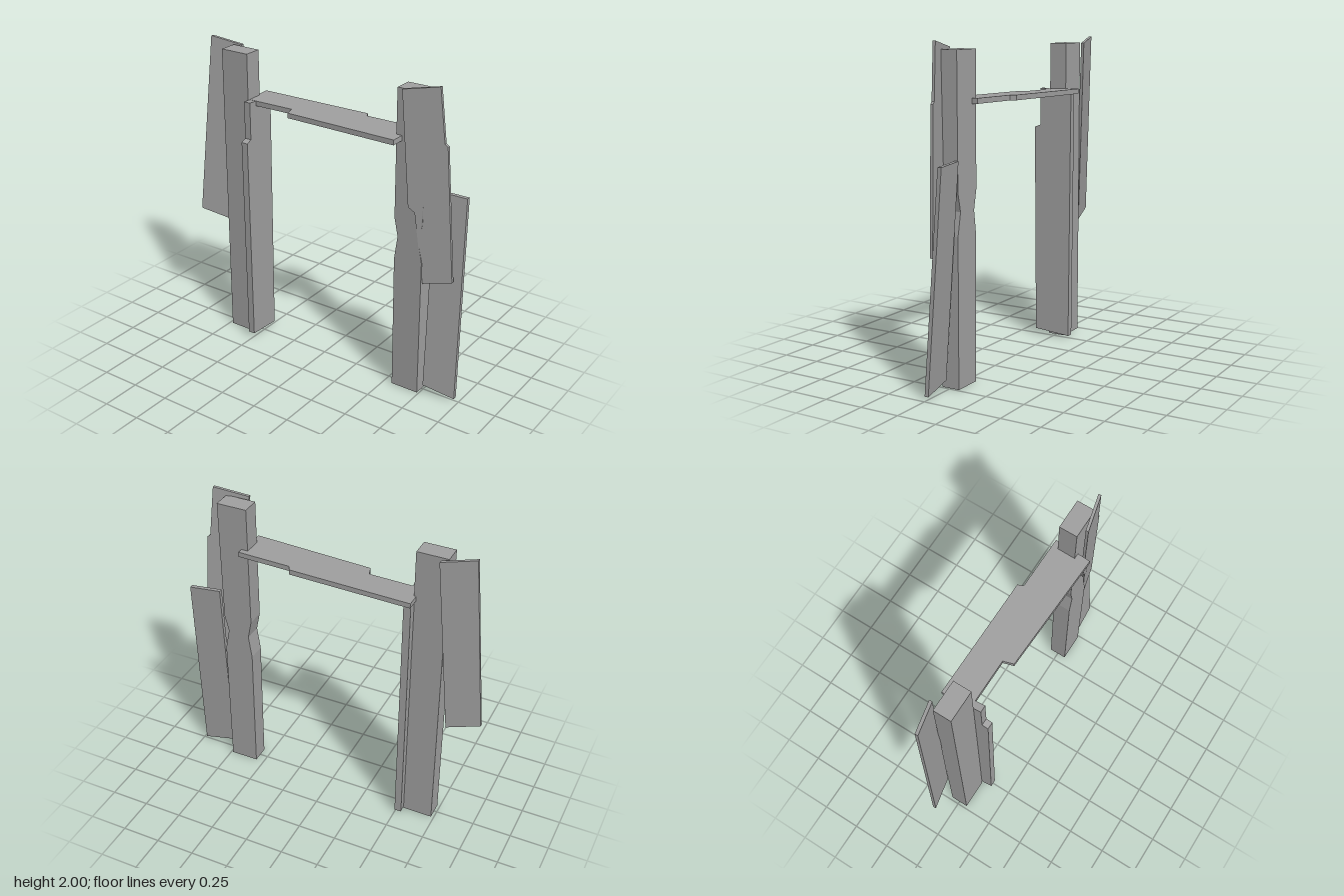
import * as THREE from 'three';

// Extruded outline, optionally turned, then sheared by a rule so boards lean and twist
function board(name, material, outline, thickness, turn, lean) {
  const shape = new THREE.Shape(outline.map(([a, b]) => new THREE.Vector2(a, b)));
  const geometry = new THREE.ExtrudeGeometry(shape, { depth: thickness, bevelEnabled: false });
  turn(geometry);
  const pos = geometry.attributes.position;
  const v = new THREE.Vector3();
  for (let i = 0; i < pos.count; i++) {
    lean(v.fromBufferAttribute(pos, i));
    pos.setXYZ(i, v.x, v.y, v.z);
  }
  geometry.computeVertexNormals();
  const mesh = new THREE.Mesh(geometry, material);
  mesh.name = name;
  return mesh;
}

export function createModel() {
  const group = new THREE.Group();
  group.name = 'doorFrame';
  const wood = new THREE.MeshStandardMaterial({ color: 0xa0a0a0 });
  wood.name = 'plain grey';

  const upright = () => {};
  const flat = (g) => g.rotateX(-Math.PI / 2);
  const sideways = (g) => g.rotateY(Math.PI / 2);

  // Straight post, open underneath
  const postGeometry = new THREE.BoxGeometry(0.195, 1.95, 0.115);
  const faces = Array.from(postGeometry.index.array);
  faces.splice(18, 6);
  postGeometry.setIndex(faces);
  postGeometry.clearGroups();
  const post = new THREE.Mesh(postGeometry, wood);
  post.name = 'rightPost';
  post.position.set(-0.634, 0.975, 0);
  group.add(post);

  // Post with a pinched waist
  group.add(board('leftPost', wood, [
    [0.555, 0], [0.738, 0], [0.733, 0.9], [0.705, 1.04], [0.73, 1.15],
    [0.73, 1.95], [0.535, 1.95], [0.54, 1.15], [0.565, 1.03], [0.545, 0.88],
  ], 0.115, upright, (v) => { v.z -= 0.058; }));

  // Notched inner jamb, drawn as (-z, y)
  group.add(board('jamb', wood, [
    [-0.13, 0.037], [0.11, 0.013], [0.117, 1.64], [-0.103, 1.66],
    [-0.103, 1.42], [-0.142, 1.405],
  ], 0.045, sideways, (v) => { v.x += -0.537 + 0.05 * v.z; }));

  // Notched cross board, drawn as (x, -z)
  group.add(board('lintel', wood, [
    [-0.55, 0.145], [0.22, 0.135], [0.235, 0.1], [0.58, 0.095],
    [0.57, -0.14], [-0.195, -0.107], [-0.215, -0.043], [-0.55, -0.04],
  ], 0.032, flat, (v) => { v.y += 1.632 + 0.014 * v.x - 0.03 * v.z; }));

  // Loose planks nailed to the posts
  group.add(board('rightBackPlank', wood, [
    [-0.895, 1.985], [-0.98, 0.8], [-0.775, 0.755], [-0.692, 1.948],
  ], 0.02, upright, (v) => { v.z += -0.187 - 0.25 * v.x - 0.043 * (v.y - 0.8) - 0.043; }));

  group.add(board('leftBackPlank', wood, [
    [0.765, 0.055], [0.975, 0.02], [0.945, 1.325], [0.745, 1.335],
  ], 0.025, upright, (v) => { v.z += 0.015 - 0.11 * (v.x - 0.765) - 0.068 * v.y; }));

  group.add(board('leftFrontPlank', wood, [
    [0.59, 1.96], [0.64, 1.25], [0.68, 1.22], [0.74, 0.765], [0.915, 0.805],
    [0.858, 1.655], [0.84, 1.67], [0.805, 2],
  ], 0.018, upright, (v) => { v.z += 0.08 - 0.23 * (v.x - 0.59) + 0.013 * (v.y - 1.96); }));

  return group;
}
